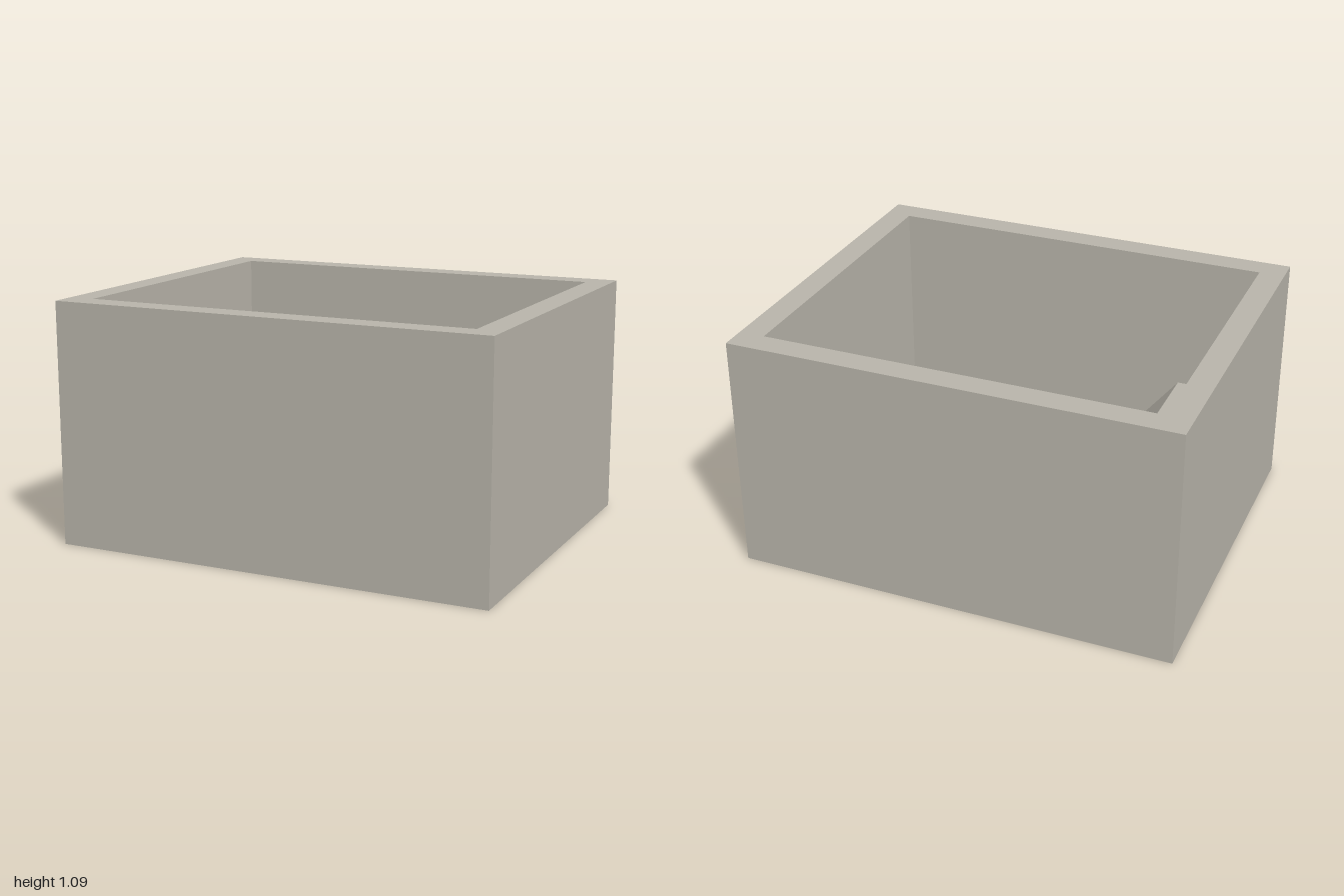
import * as THREE from 'three';

const WIDTH = 2, HEIGHT = 1.09, DEPTH = 1.64;   // outer size
const INNER_X = 0.885, INNER_Z = 0.705;         // half size of the hollow
const FLOOR_Y = 0.155, LEDGE_Y = 0.445;

const polygon = (points) => new THREE.Shape(points.map(([x, y]) => new THREE.Vector2(x, y)));
const rectangle = (hx, hy) => polygon([[-hx, -hy], [hx, -hy], [hx, hy], [-hx, hy]]);

export function createModel() {
  const model = new THREE.Group();
  model.name = 'openBasin';

  const stone = new THREE.MeshStandardMaterial({ color: 0xb8b4aa });
  stone.name = 'warm grey stone';

  // Four walls: rectangular ring raised to full height
  const ring = rectangle(WIDTH / 2, DEPTH / 2);
  ring.holes.push(rectangle(INNER_X, INNER_Z));
  const wallGeometry = new THREE.ExtrudeGeometry(ring, { depth: HEIGHT, bevelEnabled: false });
  wallGeometry.rotateX(-Math.PI / 2);
  const walls = new THREE.Mesh(wallGeometry, stone);
  walls.name = 'walls';

  // Floor with a raised ledge and a ramp at one end, fitted between the walls
  const profile = polygon([
    [-INNER_X, 0], [INNER_X, 0], [INNER_X, FLOOR_Y],
    [-0.295, FLOOR_Y], [-0.53, LEDGE_Y], [-INNER_X, LEDGE_Y],
  ]);
  const floorGeometry = new THREE.ExtrudeGeometry(profile, { depth: INNER_Z * 2, bevelEnabled: false });
  floorGeometry.translate(0, 0, -INNER_Z);
  const floor = new THREE.Mesh(floorGeometry, stone);
  floor.name = 'floorWithLedge';

  model.add(walls, floor);
  return model;
}
